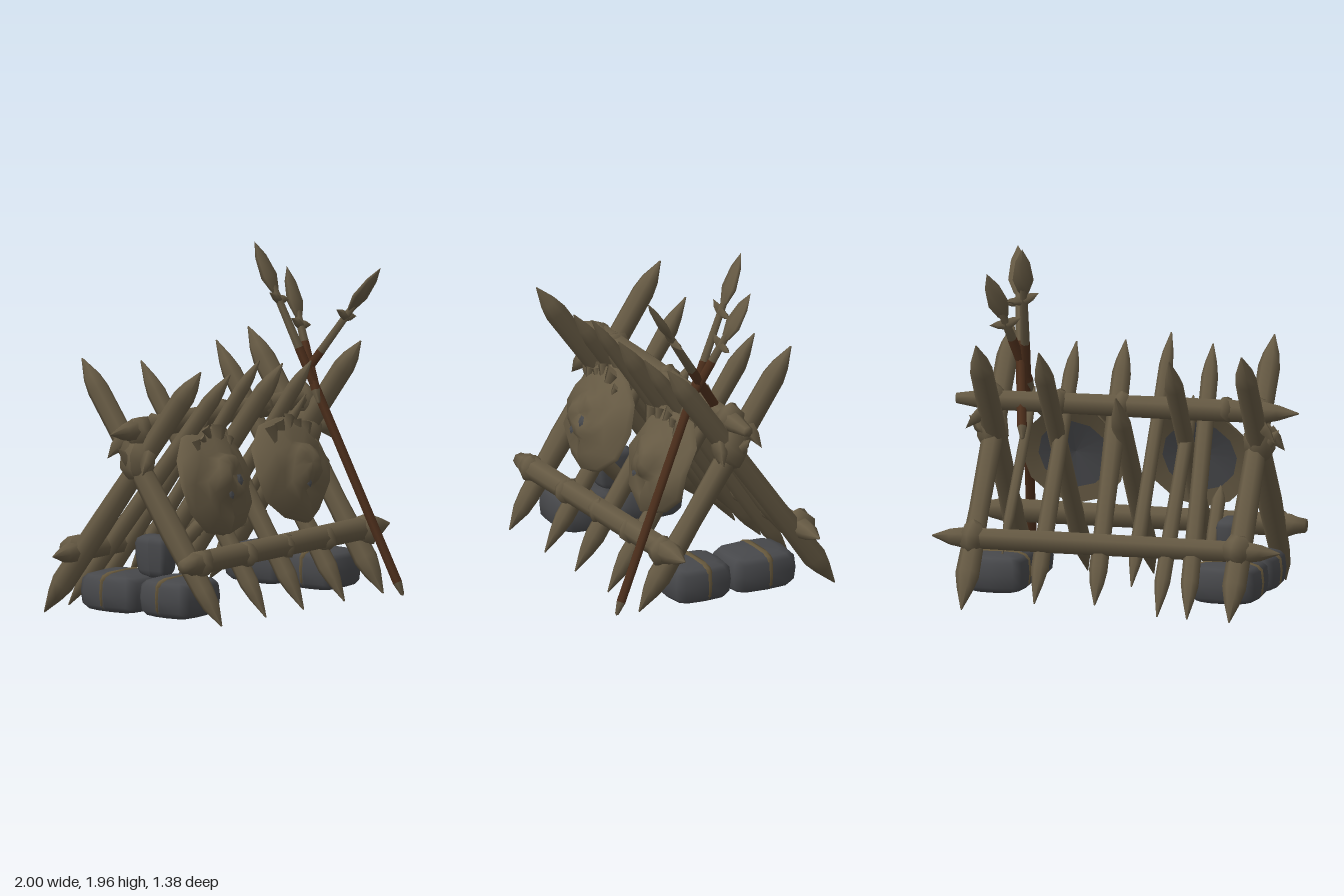
import * as THREE from 'three';

const mat = (name, color) => Object.assign(new THREE.MeshStandardMaterial({ color }), { name });

export function createModel() {
  const group = new THREE.Group();
  const wood = mat('weathered wood', 0x655943);
  const stone = mat('dark stone', 0x47484b);
  const shaftWood = mat('red brown shaft', 0x4c2e1b);
  const strapMat = mat('tan strap', 0x64563b);

  let seed = 7;
  const rnd = () => { // small seeded noise, -1 to 1
    seed = (seed * 16807) % 2147483647;
    return (seed / 2147483647) * 2 - 1;
  };
  const V = (p) => new THREE.Vector3(...p);
  const UP = new THREE.Vector3(0, 1, 0);
  const lathe = (rows, sides) => new THREE.LatheGeometry(rows.map(([r, h]) => new THREE.Vector2(r, h)), sides);

  const add = (name, geo, material, parent = group) => {
    const m = new THREE.Mesh(geo, material);
    m.name = name;
    parent.add(m);
    return m;
  };

  // turned piece running from a to b; profile rows are [radius, distance from a]
  const turned = (name, a, b, profile, sides, material) => {
    const m = add(name, lathe(profile, sides), material);
    m.position.copy(V(a));
    m.quaternion.setFromUnitVectors(UP, V(b).sub(V(a)).normalize());
    return m;
  };

  // hewn log with sharpened ends (t0, t1 are the lengths of the points)
  const log = (name, a, b, r, t0 = 0.22, t1 = 0.2, end0 = 0.004, end1 = 0.004) => {
    const L = V(a).distanceTo(V(b));
    const k = () => r * (1 + 0.1 * rnd());
    return turned(name, a, b, [[0, 0], [end0, 0.001], [r * 0.75, t0 * 0.6], [k(), t0], [k(), L * 0.35],
      [k(), L * 0.65], [k(), L - t1], [r * 0.75, L - t1 * 0.6], [end1, L - 0.001], [0, L]], 7, wood);
  };

  // stakes with their feet in front, leaning back: foot x, top x, top y, top z, radius
  for (const [x0, x1, y1, z1, r] of [[-0.76, -0.77, 1.47, -0.41, 0.066], [-0.35, -0.33, 1.41, -0.33, 0.052],
    [0, 0.02, 1.16, -0.17, 0.055], [0.38, 0.41, 1.43, -0.36, 0.054], [0.74, 0.76, 1.46, -0.4, 0.066]]) {
    log('backLeaningStake', [x0, 0.05, 0.55], [x1, y1, z1], r);
  }
  // stakes with their feet behind, leaning forward: foot x, y, z, then top x, y, z, radius
  for (const [x0, y0, z0, x1, y1, z1, r] of [[-0.77, 0.02, -0.67, -0.74, 1.46, 0.39, 0.064],
    [-0.53, 0.03, -0.68, -0.4, 1.4, 0.34, 0.048], [-0.35, 0.03, -0.65, -0.34, 1.14, 0.15, 0.042],
    [-0.17, 0.17, -0.53, -0.155, 1.45, 0.36, 0.042], [0.02, 0.07, -0.61, 0.1, 1.4, 0.33, 0.054],
    [0.37, 0.06, -0.6, 0.38, 1.38, 0.32, 0.047], [0.6, 0.3, -0.43, 0.57, 1.15, 0.14, 0.03],
    [0.77, 0.02, -0.67, 0.76, 1.45, 0.38, 0.064]]) {
    log('forwardLeaningStake', [x0, y0, z0], [x1, y1, z1], r);
  }

  // long horizontal rails
  log('topRail', [-1, 1.1, -0.04], [0.98, 1.09, -0.01], 0.06, 0.2, 0.16, 0.004, 0.03);
  log('frontRail', [-0.92, 0.39, 0.4], [1, 0.4, 0.4], 0.068, 0.1, 0.18, 0.04);
  log('backRail', [-1, 0.38, -0.44], [1, 0.39, -0.45], 0.062, 0.18, 0.18);

  // lumpy lashings where stakes and rails meet
  const lump = (name, p, s) => {
    const geo = new THREE.SphereGeometry(1, 7, 5);
    const pos = geo.attributes.position;
    for (let i = 0; i < pos.count; i++) {
      const x = pos.getX(i), y = pos.getY(i), z = pos.getZ(i);
      const k = 1 + 0.16 * Math.sin(5 * x + 9 * y + p[0] * 7) * Math.cos(6 * z + 3 * x);
      pos.setXYZ(i, x * k * s[0], y * k * s[1], z * k * s[2]);
    }
    geo.computeVertexNormals();
    add(name, geo, wood).position.set(...p);
  };
  for (const s of [-1, 1]) {
    lump('crossLashing', [s * 0.77, 0.93, -0.01], [0.085, 0.12, 0.11]);
    lump('topLashing', [s * 0.76, 1.09, -0.02], [0.07, 0.09, 0.085]);
    lump('frontLashing', [s * 0.76, 0.39, 0.41], [0.07, 0.08, 0.085]);
    lump('backLashing', [s * 0.76, 0.39, -0.45], [0.075, 0.09, 0.1]);
    // splinters standing out from the lashings
    for (const [y, z, dy] of [[0.98, 0.07, -0.12], [0.9, -0.05, 0.1], [1.05, -0.11, -0.1]]) {
      turned('splinter', [s * 0.79, y, z], [s * 0.885, y + dy, z * 1.3],
        [[0, 0], [0.04, 0.001], [0.035, 0.07], [0, 0.15]], 4, wood);
    }
  }
  for (const x of [-0.58, 0.02, 0.38]) {
    lump('topRailLashing', [x, 1.1, -0.03], [0.055, 0.075, 0.075]);
    lump('frontRailLashing', [x < -0.5 ? -0.35 : x, 0.39, 0.41], [0.055, 0.07, 0.07]);
  }

  // battered round shields leaning on the stakes
  const shield = (name, x, y, R, spin) => {
    const g = new THREE.Group();
    g.name = name;
    const front = lathe([[R, -0.03], [R * 0.97, 0], [R * 0.72, 0.055], [R * 0.47, 0.065],
      [R * 0.38, 0.115], [R * 0.2, 0.13], [0, 0.115]], 12);
    const pos = front.attributes.position;
    for (let i = 0; i < pos.count; i++) {
      const px = pos.getX(i), pz = pos.getZ(i);
      const k = 1 + 0.045 * Math.sin(19 * px + spin) * Math.cos(17 * pz + spin);
      pos.setXYZ(i, px * k, pos.getY(i) + 0.026 * Math.sin(23 * px + spin) * Math.cos(21 * pz), pz * k);
    }
    front.computeVertexNormals();
    add('shieldFace', front, wood, g);
    add('shieldBack', lathe([[0, 0.02], [R * 0.68, -0.011]], 12), stone, g);
    add('shieldBackRim', lathe([[R * 0.68, -0.011], [R * 0.98, -0.03]], 12), wood, g);
    for (const [dx, dz, h, s] of [[0.05, 0.03, 0.128, 0.9], [-0.04, 0.1, 0.112, 0.8]]) {
      const chip = add('shieldChip', new THREE.CylinderGeometry(0.016, 0.03, 0.009, 5), stone, g);
      chip.position.set(dx, h, dz);
      chip.scale.set(s, 1, s * 1.3);
    }
    // torn flaps of uneven size along the upper rim
    for (let i = -2; i <= 2; i++) {
      const size = 0.85 + 0.35 * rnd();
      const flap = add('rimFlap', new THREE.ConeGeometry(0.055 * size, 0.13 * size, 4), wood, g);
      flap.position.set(i * 0.075 + 0.02 * rnd(), 0.045, -R * 0.78 + Math.abs(i) * 0.03);
      flap.rotation.set(Math.PI / 2, 0, i * 0.2 + 0.4 * rnd());
      flap.scale.z = 0.4;
    }
    g.position.set(x, y, 0.215);
    g.rotation.x = Math.PI / 2 - 0.33;
    group.add(g);
  };
  shield('leftHandShield', 0.36, 0.77, 0.305, 1);
  shield('rightHandShield', -0.36, 0.79, 0.315, 3);

  // weight stones: spheres squared off by a power rule
  const block = (name, p, s, material, flare = 0) => {
    const geo = new THREE.SphereGeometry(1, 12, 8);
    const pos = geo.attributes.position;
    const sq = (v) => Math.sign(v) * Math.pow(Math.abs(v), 0.5);
    for (let i = 0; i < pos.count; i++) {
      const y = sq(pos.getY(i));
      const k = 1 + flare * y;
      pos.setXYZ(i, sq(pos.getX(i)) * s[0] * k, y * s[1], sq(pos.getZ(i)) * s[2] * k);
    }
    geo.computeVertexNormals();
    add(name, geo, material).position.set(...p);
  };
  for (const [x, w] of [[-0.645, 0.2], [0.675, 0.18]]) {
    for (const [z, d] of [[0.175, 0.185], [-0.21, 0.21]]) {
      block('weightStone', [x, 0.17, z], [w, 0.112, d], stone);
      // strap sits slightly high, so it sinks into the stone underneath
      block('stoneStrap', [x, 0.175, z - 0.015], [w * 1.03, 0.112, 0.028], strapMat);
    }
  }
  block('upperStone', [-0.61, 0.375, -0.015], [0.075, 0.12, 0.11], stone, 0.12);
  log('bracePeg', [-0.5, 0.27, -0.08], [-0.47, 0.62, 0.25], 0.037, 0.04, 0.1, 0.03);

  // spears: dark shaft with a pale foot, pale upper shaft, leaf blade and barbs
  const spear = (a, tip, darkPart) => {
    const A = V(a), T = V(tip), L = A.distanceTo(T), at = (d) => A.clone().lerp(T, d / L).toArray();
    const neck = L - 0.33, dark = L * darkPart;
    turned('spearFoot', a, tip, [[0, 0], [0.012, 0.01], [0.028, 0.08]], 6, wood);
    turned('spearShaft', a, tip, [[0.028, 0.08], [0.027, dark], [0, dark]], 6, shaftWood);
    turned('spearNeck', at(dark), tip, [[0, 0], [0.026, 0], [0.021, neck - dark + 0.06]], 6, wood);
    const blade = turned('spearBlade', at(neck), tip,
      [[0, 0], [0.035, 0.04], [0.066, 0.12], [0.046, 0.24], [0, 0.33]], 6, wood);
    blade.scale.z = 0.4;
    for (const s of [-1, 1]) {
      const p = V(at(neck - 0.02));
      turned('spearBarb', p.toArray(), [p.x + s * 0.09, p.y - s * 0.03 + 0.02, p.z],
        [[0, 0], [0.028, 0.005], [0.022, 0.05], [0, 0.1]], 4, wood);
    }
  };
  spear([0.735, 0.05, 0.69], [0.55, 1.98, -0.2], 0.7);
  spear([0.56, 0.9, -0.16], [0.77, 1.87, 0.51], 0.5);
  spear([0.6, 1.1, 0.21], [0.77, 1.82, -0.14], 0.45);

  return group;
}
